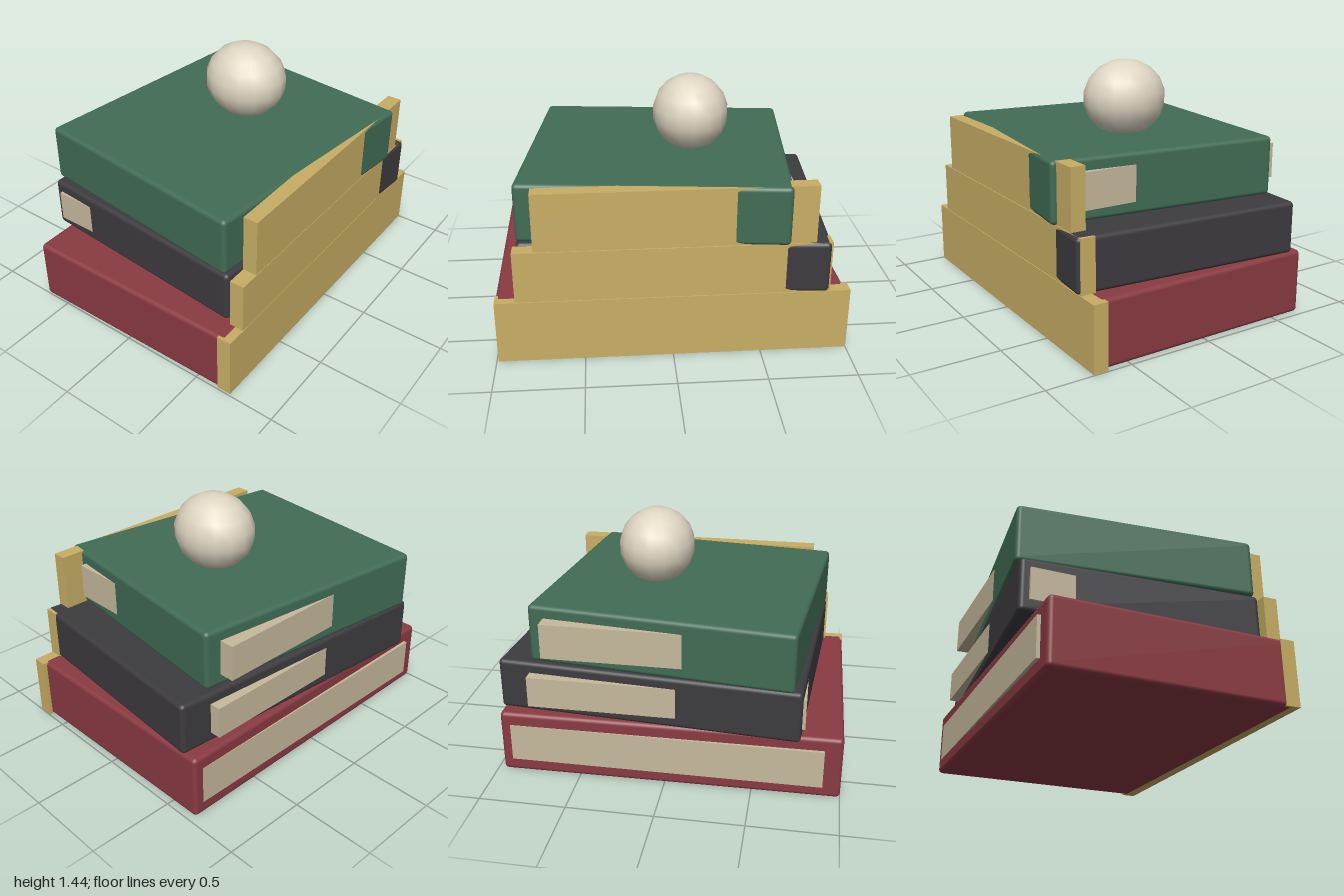
import * as THREE from 'three';
import { RoundedBoxGeometry } from 'three/addons/geometries/RoundedBoxGeometry.js';

const material = (color) => new THREE.MeshStandardMaterial({ color });

// Each book: cover size and twist, plus the x range of its straight gold spine
const BOOKS = [
  { name: 'bottomBook', color: 0x8a3a42, y0: 0, y1: 0.38, x: -0.012, width: 1.965, twist: 0.01, spine: [-0.99, 1.0] },
  { name: 'middleBook', color: 0x3d3b3f, y0: 0.38, y1: 0.685, x: 0.054, width: 1.74, twist: -0.075, spine: [-0.875, 0.88] },
  { name: 'topBook', color: 0x416c55, y0: 0.685, y1: 1.027, x: -0.04, width: 1.51, twist: -0.108, spine: [-0.76, 0.785] },
];
const DEPTH = 1.36;

export function createModel() {
  const model = new THREE.Group();
  const gold = material(0xc8ae65);
  const paper = material(0xc6b99c);

  // Axis-aligned box given by its ranges
  const block = (name, mat, [x0, x1], [y0, y1], [z0, z1]) => {
    const mesh = new THREE.Mesh(new THREE.BoxGeometry(x1 - x0, y1 - y0, z1 - z0), mat);
    mesh.name = name;
    mesh.position.set((x0 + x1) / 2, (y0 + y1) / 2, (z0 + z1) / 2);
    return mesh;
  };

  for (const { name, color, y0, y1, x, width, twist, spine } of BOOKS) {
    const book = new THREE.Group();
    book.name = name;
    const height = y1 - y0;

    // Twisted cover with softened edges
    const cover = new THREE.Mesh(new RoundedBoxGeometry(width, height, DEPTH, 3, 0.025), material(color));
    cover.name = 'cover';
    cover.position.set(x, (y0 + y1) / 2, 0);
    cover.rotation.y = twist;

    // Straight spine strip, a hair lower than the cover
    const spineStrip = block('spine', gold, spine, [y0 + 0.002, y1 - 0.002], [0.64, 0.725]);

    // Page block, showing wherever the twisted cover leaves it bare
    const pages = block('pages', paper, [spine[0] + 0.09, spine[1] - 0.095],
      [y0 + height * 0.2, y1 - height * 0.2], [-0.691, 0.6]);

    book.add(cover, spineStrip, pages);
    model.add(book);
  }

  // Slightly stretched ball resting on the stack
  const ball = new THREE.Mesh(new THREE.SphereGeometry(0.225, 16, 9), material(0xdfd6c2));
  ball.name = 'ball';
  ball.scale.z = 1.11;
  ball.position.set(0.157, 1.216, 0);
  model.add(ball);

  return model;
}
